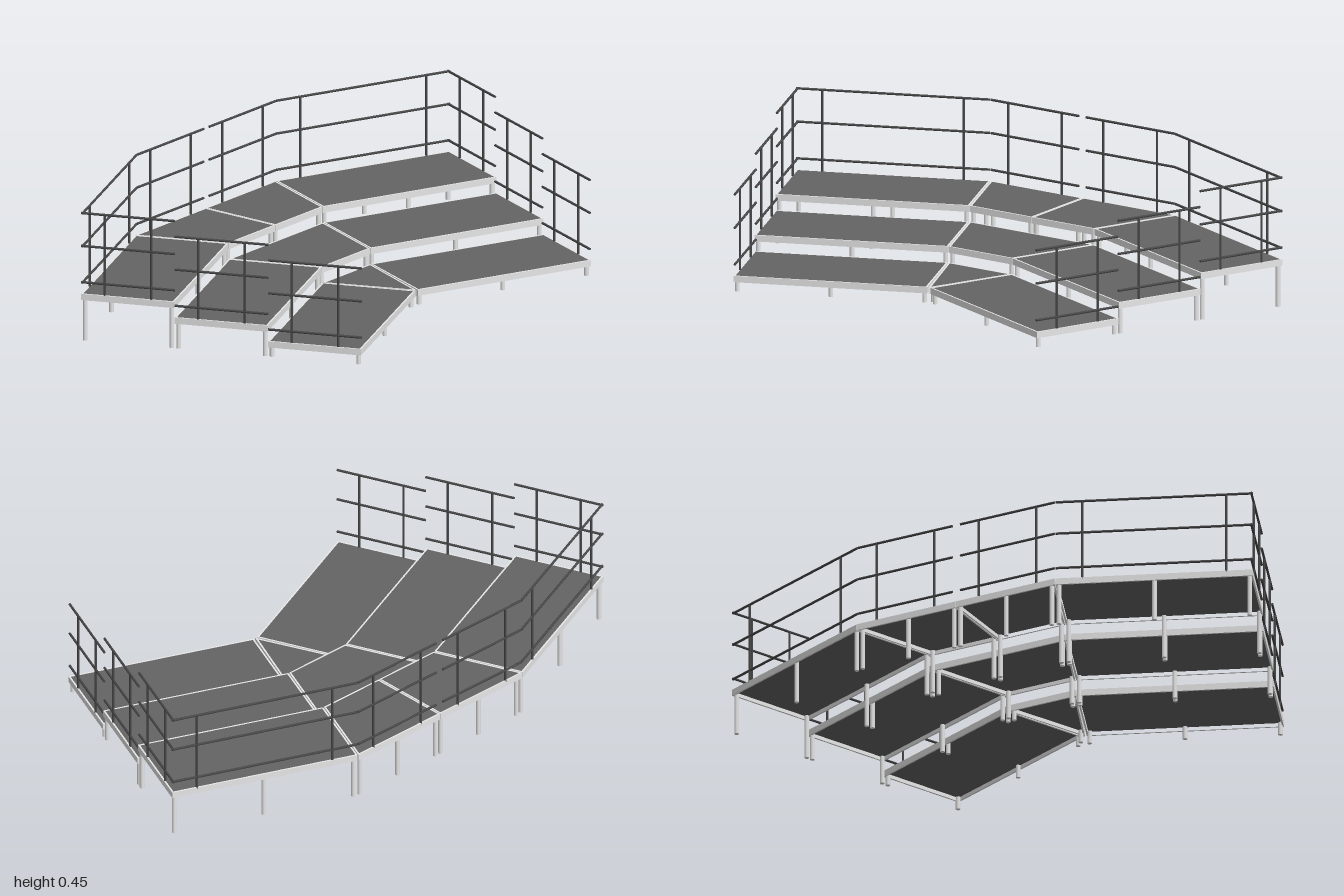
import * as THREE from 'three';

const ANGLE = Math.PI / 8;      // splay of the side wings
const WIDTH = 0.667;            // deck length across a wing
const DEPTH = 0.3265;           // deck depth per step
const RISE = 0.055;             // height of each step
const THICK = 0.022;            // deck frame height
const APEX_Z = 0.3225;          // inner front corner of the wings
const C = Math.cos(ANGLE), S = Math.sin(ANGLE);

// Shrinks a convex polygon of [x, z] points by d.
function inset(points, d) {
  const n = points.length;
  let area = 0;
  points.forEach((p, i) => {
    const q = points[(i + 1) % n];
    area += p[0] * q[1] - q[0] * p[1];
  });
  const sign = Math.sign(area);
  const normal = (a, b) => {
    const l = Math.hypot(b[0] - a[0], b[1] - a[1]);
    return [-sign * (b[1] - a[1]) / l, sign * (b[0] - a[0]) / l];
  };
  return points.map((p, i) => {
    const n1 = normal(points[(i + n - 1) % n], p);
    const n2 = normal(p, points[(i + 1) % n]);
    const k = d / (1 + n1[0] * n2[0] + n1[1] * n2[1]);
    return [p[0] + k * (n1[0] + n2[0]), p[1] + k * (n1[1] + n2[1])];
  });
}

// Extrudes a plan outline upward from y.
function slab(points, y, height, hole) {
  const toV = (list) => list.map(([x, z]) => new THREE.Vector2(x, -z));
  const shape = new THREE.Shape(toV(points));
  if (hole) shape.holes.push(new THREE.Path(toV(hole)));
  const geo = new THREE.ExtrudeGeometry(shape, { depth: height, bevelEnabled: false });
  return geo.rotateX(-Math.PI / 2).translate(0, y, 0);
}

export function createModel() {
  const model = new THREE.Group();
  model.name = 'steppedStage';
  const metal = new THREE.MeshStandardMaterial({ color: 0xe8e8e8 });
  metal.name = 'aluminium';
  const board = new THREE.MeshStandardMaterial({ color: 0x646464 });
  board.name = 'deckBoard';
  const dark = new THREE.MeshStandardMaterial({ color: 0x484848 });
  dark.name = 'railGrey';

  const add = (parent, name, geometry, material) => {
    const mesh = new THREE.Mesh(geometry, material);
    mesh.name = name;
    parent.add(mesh);
    return mesh;
  };

  // Round bar between two points
  const bar = (parent, name, a, b, radius, material) => {
    const dir = b.clone().sub(a);
    const mesh = add(parent, name, new THREE.CylinderGeometry(radius, radius, dir.length(), 10), material);
    mesh.position.copy(a).add(b).multiplyScalar(0.5);
    mesh.quaternion.setFromUnitVectors(new THREE.Vector3(0, 1, 0), dir.normalize());
  };

  // One platform: frame, board, corner legs and mid legs on the listed edges
  const deck = (name, points, row, midEdges) => {
    const group = new THREE.Group();
    group.name = name;
    const top = RISE * (row + 1);
    const inner = inset(points, 0.006);
    add(group, 'frame', slab(points, top - THICK, THICK, inner), metal);
    add(group, 'board', slab(inner, top - 0.009, 0.0085), board);
    const spots = inset(points, 0.011);
    const mids = midEdges.map((i) => {
      const a = spots[i], b = spots[(i + 1) % spots.length];
      return [(a[0] + b[0]) / 2, (a[1] + b[1]) / 2];
    });
    for (const [x, z] of [...spots, ...mids]) {
      bar(group, 'leg', new THREE.Vector3(x, 0, z), new THREE.Vector3(x, top - 0.01, z), 0.008, metal);
    }
    model.add(group);
  };

  // Guard rail: three bars and two posts
  const guard = (name, a, b, row, postInset) => {
    const group = new THREE.Group();
    group.name = name;
    const top = RISE * (row + 1);
    const at = (t, y) => new THREE.Vector3(a[0] + (b[0] - a[0]) * t, y, a[1] + (b[1] - a[1]) * t);
    for (const h of [0.04, 0.168, 0.284]) bar(group, 'rail', at(0, top + h), at(1, top + h), 0.0042, dark);
    for (const t of [postInset, 1 - postInset]) bar(group, 'post', at(t, top - 0.005), at(t, top + 0.284), 0.0042, dark);
    model.add(group);
  };

  for (const side of [-1, 1]) {
    const label = side > 0 ? 'left' : 'right';
    // Wing coordinates: u outward along the width, v toward the back
    const wing = (u, v) => [side * (0.007 + u * C + v * S), APEX_Z + u * S - v * C];
    for (let row = 0; row < 3; row++) {
      const v0 = row * DEPTH, v1 = v0 + DEPTH;
      deck(label + 'WingDeck', [wing(0, v0 + 0.001), wing(WIDTH, v0 + 0.001), wing(WIDTH, v1 - 0.001), wing(0, v1 - 0.001)], row, [0, 2]);
      guard(label + 'SideRail', wing(WIDTH - 0.005, v0), wing(WIDTH - 0.005, v1), row, 0.25);
    }
    const back = 3 * DEPTH - 0.005;
    guard(label + 'WingBackRail', wing(0, back), wing(WIDTH, back), 2, 0.135);
  }

  // Centre section: edge of the wedge at each step
  const half = (row) => 0.004 + row * DEPTH * S;
  const line = (row) => APEX_Z - row * DEPTH * C;
  deck('centreFrontDeck', [[0, line(0)], [half(1), line(1) + 0.001], [-half(1), line(1) + 0.001]], 0, []);
  deck('centreMiddleDeck', [[-half(1), line(1) - 0.001], [half(1), line(1) - 0.001],
    [half(2), line(2) + 0.001], [-half(2), line(2) + 0.001]], 1, [2]);
  for (const side of [-1, 1]) {
    deck('centreBackDeck', [[side * 0.001, line(2) - 0.001], [side * half(2), line(2) - 0.001],
      [side * half(3), line(3)], [side * 0.001, line(3)]], 2, [2]);
    guard('centreBackRail', [side * 0.015, line(3) + 0.004], [side * 0.376, line(3) + 0.004], 2, 0.195);
  }
  return model;
}
